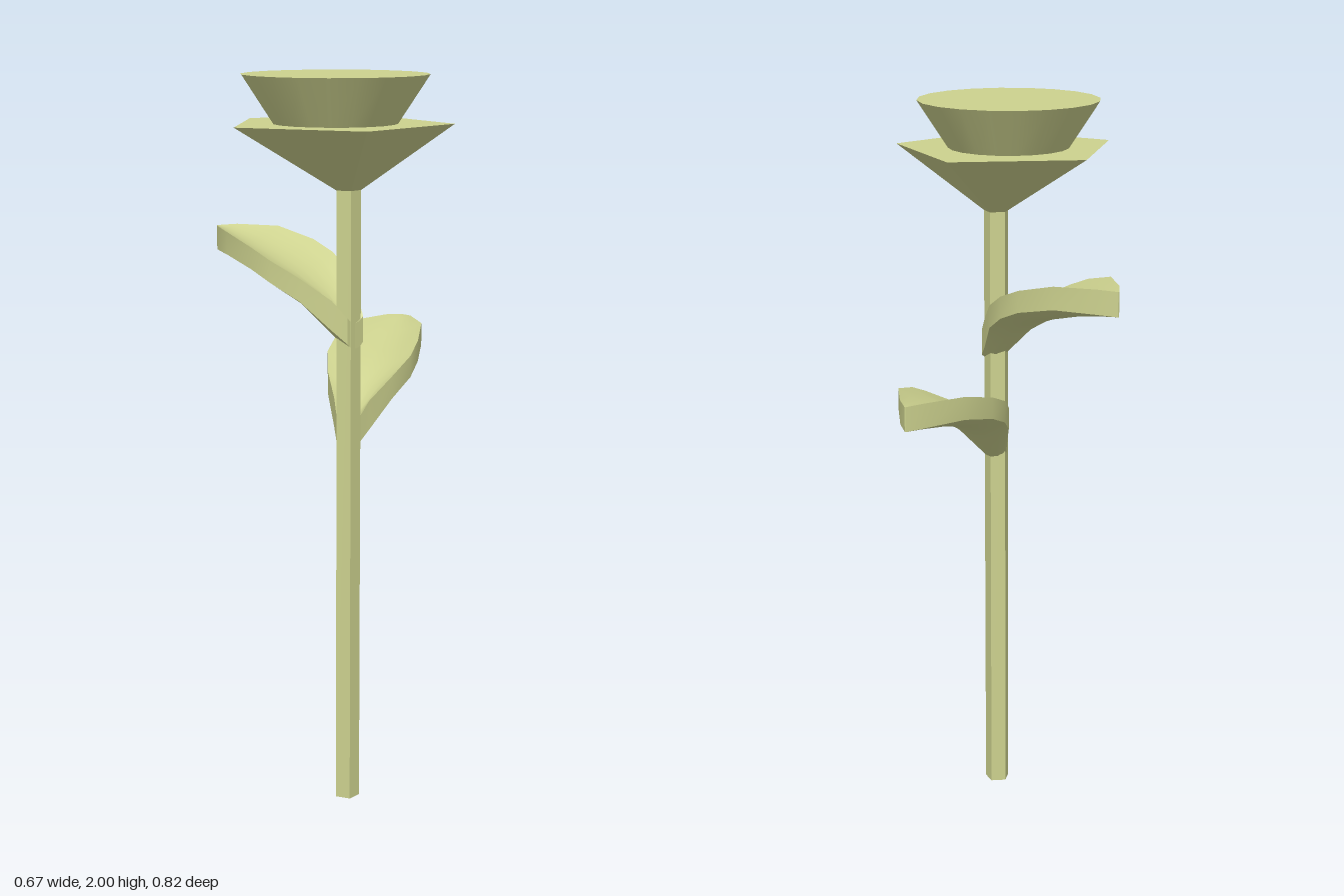
import * as THREE from 'three';

const green = new THREE.MeshStandardMaterial({ color: 0xccd18e });
green.name = 'paleGreen';

function part(name, geometry, x, y, z) {
  const mesh = new THREE.Mesh(geometry, green);
  mesh.name = name;
  mesh.position.set(x, y, z);
  return mesh;
}

// Gives every face its own normal
function faceted(geometry) {
  const flat = geometry.toNonIndexed();
  flat.computeVertexNormals();
  return flat;
}

// Five-sided prism or frustum with one corner towards +x
const pentagon = (top, bottom, height) =>
  new THREE.CylinderGeometry(top, bottom, height, 5, 1, false, Math.PI / 2);

// Leaf stations: distance from stem, half width, edge top, middle top, middle bottom
const STATIONS = [
  [0, 0.03, 1.085, 1.07, 1.0],
  [0.04, 0.05, 1.13, 1.09, 1.01],
  [0.116, 0.092, 1.185, 1.15, 1.088],
  [0.2, 0.12, 1.228, 1.195, 1.135],
  [0.275, 0.12, 1.257, 1.222, 1.163],
  [0.393, 0.098, 1.286, 1.256, 1.194],
  [0.497, 0.037, 1.288, 1.279, 1.213],
  [0.538, 0.002, 1.284, 1.284, 1.218],
];

// A box bent over the stations: thick, cupped and pointing along -z
function leafGeometry() {
  const n = STATIONS.length - 1;
  const geometry = new THREE.BoxGeometry(2, 1, 1, 6, 1, n);
  const p = geometry.attributes.position;
  for (let i = 0; i < p.count; i++) {
    const u = p.getX(i);
    const [s, w, edge, mid, bottom] = STATIONS[Math.round((0.5 - p.getZ(i)) * n)];
    const top = mid + (edge - mid) * u * u;
    p.setXYZ(i, u * w, p.getY(i) > 0 ? top : top - (mid - bottom), -s);
  }
  geometry.computeVertexNormals();
  return geometry;
}

export function createModel() {
  const model = new THREE.Group();
  model.name = 'flower';

  // Stem
  model.add(part('stem', faceted(pentagon(0.035, 0.035, 1.71)), 0.055, 0.855, 0.113));

  // Calyx: its wide top sits a little off the stem axis
  const calyx = pentagon(0.307, 0.035, 0.173);
  const p = calyx.attributes.position;
  for (let i = 0; i < p.count; i++) {
    if (p.getY(i) > 0) p.setX(i, p.getX(i) - 0.029);
  }
  model.add(part('calyx', faceted(calyx), 0.055, 1.7865, 0.113));

  // Flower head
  const head = new THREE.CylinderGeometry(0.247, 0.162, 0.13, 20);
  model.add(part('flowerHead', head, 0.022, 1.935, 0.118));

  // Two equal leaves at different heights
  const leaf = leafGeometry();
  const lower = part('lowerLeaf', leaf, 0.055, 0, 0.113);
  lower.rotation.y = -0.234;
  const upper = part('upperLeaf', leaf, 0.077, 0.28, 0.131);
  upper.rotation.y = 0.872;
  model.add(lower, upper);

  return model;
}
